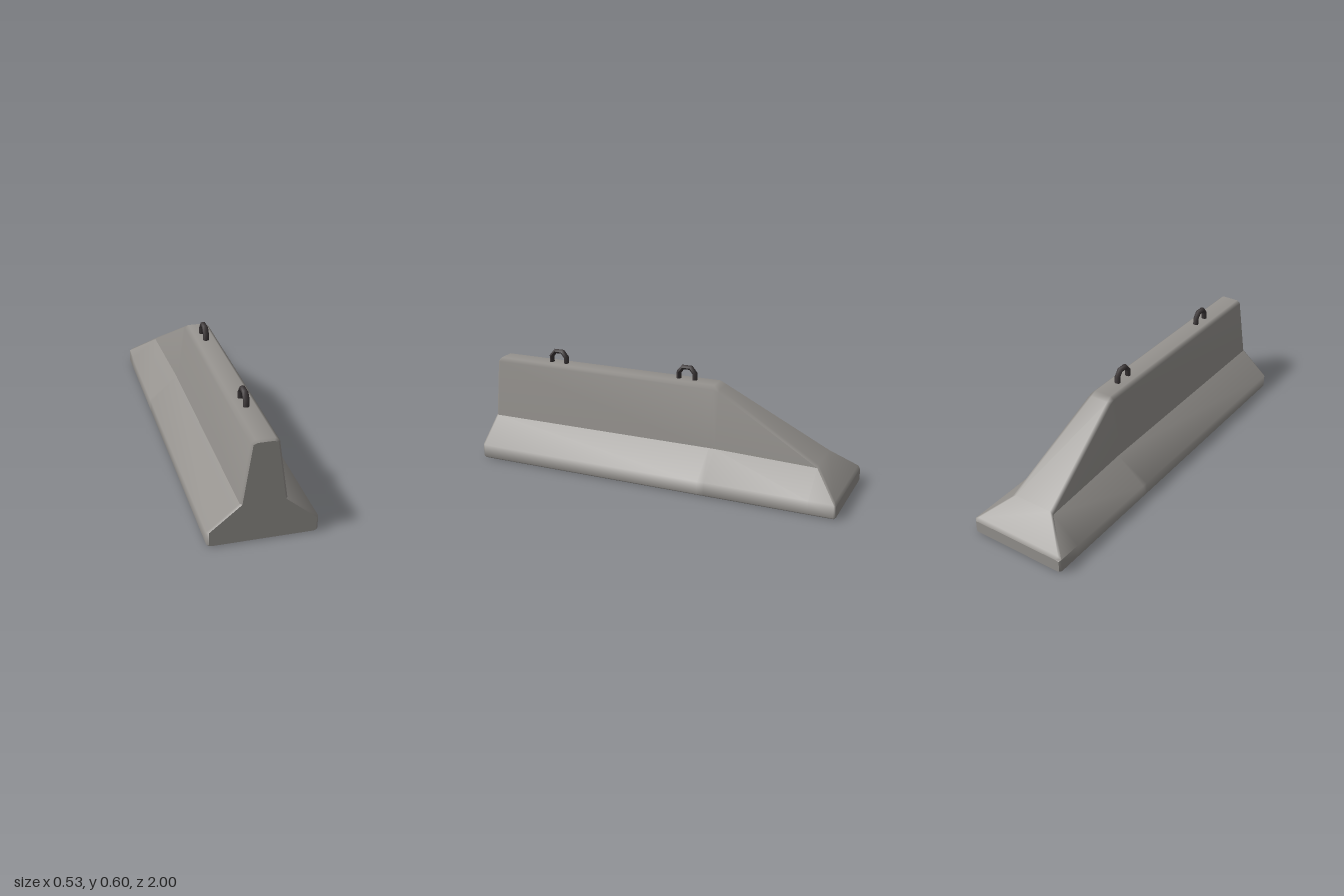
import * as THREE from 'three';

// Half cross-section of the barrier, from the base up: [x, y]
const PROFILE = [[0.255, 0], [0.266, 0.01], [0.266, 0.077], [0.112, 0.205], [0.067, 0.507], [0.045, 0.525]];

// Smooth surface through rows of [x, y, z] points
function grid(rows) {
  const n = rows[0].length;
  const index = [];
  for (let r = 0; r < rows.length - 1; r++) {
    for (let c = 0; c < n - 1; c++) {
      const a = r * n + c, d = a + n;
      index.push(a, a + 1, d + 1, a, d + 1, d);
    }
  }
  const g = new THREE.BufferGeometry();
  g.setAttribute('position', new THREE.Float32BufferAttribute(rows.flat(2), 3));
  g.setIndex(index);
  g.computeVertexNormals();
  return g;
}

// Half width of the barrier at height y
function widthAt(y) {
  for (let i = 2; i < 5; i++) {
    const [x0, y0] = PROFILE[i - 1], [x1, y1] = PROFILE[i];
    if (y <= y1) return THREE.MathUtils.lerp(x0, x1, Math.max(0, (y - y0) / (y1 - y0)));
  }
  return PROFILE[4][0];
}

// Half section at z, cut off at height h and pulled in by inset for the end bevels
function section(z, h, inset = 0) {
  const points = PROFILE.map(([x, y], i) => {
    if (i === 0) return [x, y];
    if (i === 5) return [widthAt(h - 0.014) - 0.021, h];
    const cutY = Math.min(y, h - (h > 0.52 ? 0.018 : 0.012));
    return [cutY < y ? widthAt(cutY) : x, cutY];
  });
  return points.map(([x, y], i) => [x - inset, i === 0 ? y + inset * 0.5 : i === 5 ? y - inset : y, z]);
}

const mirror = ([x, y, z]) => [-x, y, z];

// Lifting loop: a bent bar with straight legs and a chamfered top
function loopGeometry() {
  const stations = [[0.045, 0.5, 0], [0.045, 0.558, 22], [0.022, 0.587, 68],
    [-0.022, 0.587, 112], [-0.045, 0.558, 158], [-0.045, 0.5, 180]];
  return grid(stations.map(([z, y, deg]) => {
    const a = THREE.MathUtils.degToRad(deg);
    return Array.from({ length: 9 }, (_, k) => {
      const t = (k / 8) * Math.PI * 2;
      const out = -0.013 * Math.sin(t);
      return [0.016 * Math.cos(t), y + out * Math.sin(a), z + out * Math.cos(a)];
    });
  }));
}

export function createModel() {
  const concrete = new THREE.MeshStandardMaterial({ color: 0x95928e });
  concrete.name = 'concrete';
  const steel = new THREE.MeshStandardMaterial({ color: 0x3a3536 });
  steel.name = 'darkSteel';

  const model = new THREE.Group();
  model.name = 'roadBarrier';
  const add = (name, geometry, material, parent = model) => {
    const mesh = new THREE.Mesh(geometry, material);
    mesh.name = name;
    parent.add(mesh);
    return mesh;
  };

  // Sections from the sloped back end to the upright front end
  const sections = [
    section(-1, 0.08, 0.01), section(-0.99, 0.09), section(-0.865, 0.207),
    section(-0.32, 0.508), section(-0.287, 0.525), section(0.988, 0.525), section(1, 0.525, 0.01),
  ];
  const back = sections[0], front = sections[sections.length - 1];

  const body = new THREE.Group();
  body.name = 'barrierBody';
  model.add(body);

  // Flared foot on both sides
  add('leftFoot', grid(sections.map((s) => s.slice(0, 4))), concrete, body);
  add('rightFoot', grid(sections.map((s) => s.slice(0, 4).reverse().map(mirror))), concrete, body);

  // Upper walls, softened top edges, flat top and back ramp
  add('upperWall', grid(sections.map((s) => {
    const half = s.slice(3);
    return [...half, ...half.slice().reverse().map(mirror)];
  })), concrete, body);

  // Underside and end faces
  add('underside', grid(sections.map((s) => [mirror(s[0]), s[0]])), concrete, body);
  add('frontFace', grid(front.map((p) => [mirror(p), p])), concrete, body);
  add('backFace', grid(back.map((p) => [p, mirror(p)])), concrete, body);

  // Two lifting loops along the top
  const loop = loopGeometry();
  [['frontLiftingLoop', 0.643], ['backLiftingLoop', -0.118]].forEach(([name, z]) => {
    add(name, loop, steel).position.z = z;
  });

  return model;
}
